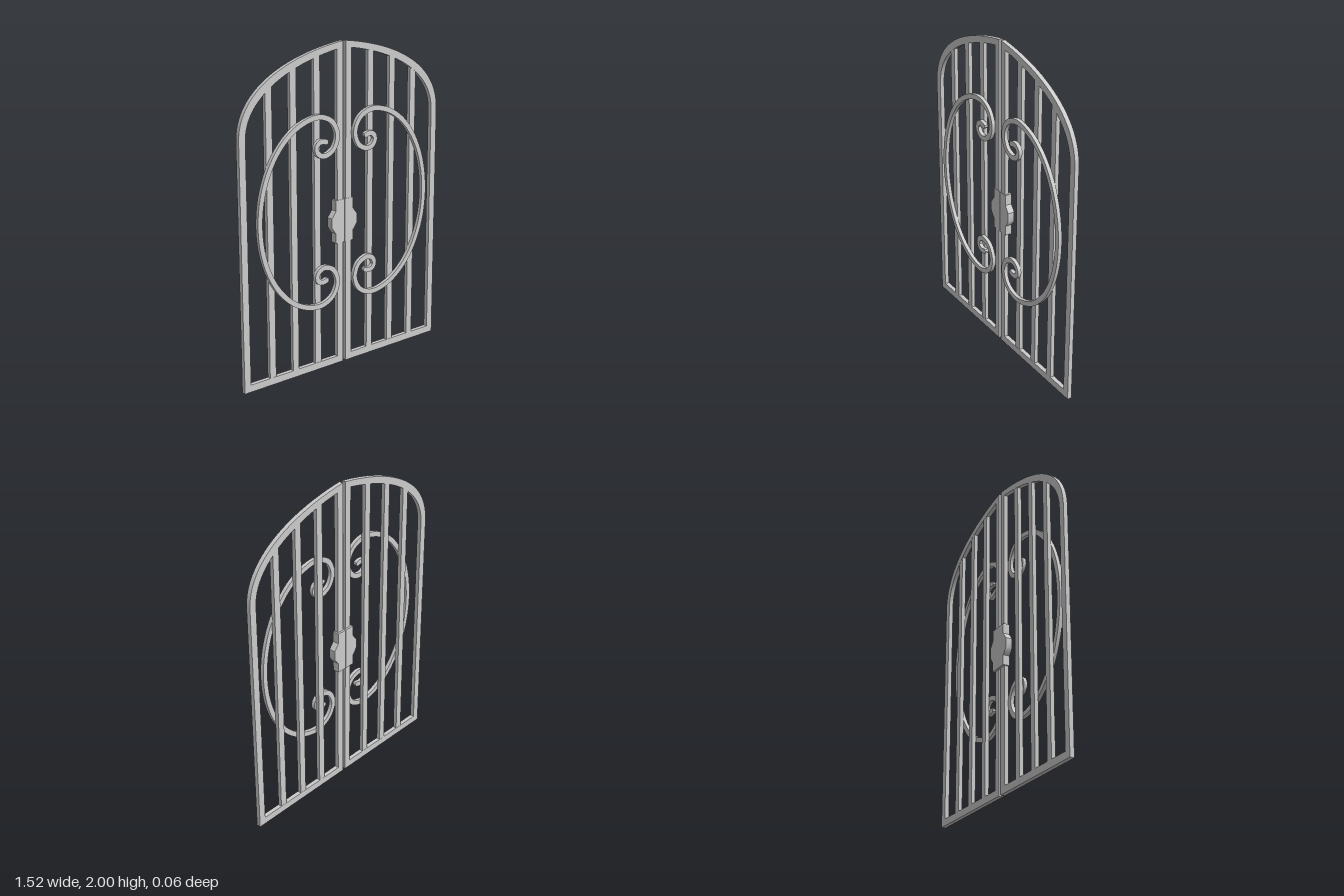
import * as THREE from 'three';
import { toCreasedNormals } from 'three/addons/utils/BufferGeometryUtils.js';

const FRAME_BACK = -0.018, FRAME_FRONT = 0.009;
const SCROLL_FRONT = 0.031, PLATE_BACK = -0.031, PLATE_FRONT = 0.0115;
const SCROLL_Y = 0.998;

const material = new THREE.MeshStandardMaterial({ color: 0xcccccc });
const v = (x, y) => new THREE.Vector2(x, y);

// Extrude an outline (with optional hole) between two depths; side = -1 mirrors it
// and reverses the point order, so outlines always run counter-clockwise
function slab(name, side, outline, z0, z1, hole) {
  const place = (pts) => {
    const placed = pts.map((p) => v(p.x * side, p.y));
    return side < 0 ? placed.reverse() : placed;
  };
  const shape = new THREE.Shape(place(outline));
  if (hole) shape.holes.push(new THREE.Path(place(hole)));
  const geo = new THREE.ExtrudeGeometry(shape, { depth: z1 - z0, bevelEnabled: false });
  geo.translate(0, 0, z0);
  const mesh = new THREE.Mesh(toCreasedNormals(geo, 0.6), material);
  mesh.name = name;
  return mesh;
}

// Leaf outline: straight sides and a sweeping arch that rises to the middle
function leafOutline(x0, x1, y0, spring, c1, c2, top) {
  const arch = new THREE.CubicBezierCurve(v(x1, spring), c1, c2, v(x0, top));
  return [v(x0, y0), v(x1, y0), ...arch.getPoints(24)];
}

// Centreline of the scroll: half ellipse with a curl at each end
function scrollPath() {
  const curl = [
    [0.11, 1.54], [0.069, 1.457], [0.095, 1.376], [0.16, 1.342],
    [0.21, 1.357], [0.228, 1.397], [0.207, 1.426], [0.175, 1.43], [0.153, 1.424],
  ].map(([x, y]) => v(x, y));
  const bow = [];
  for (let i = 0; i <= 12; i++) {
    const a = -Math.PI / 2 + (Math.PI * i) / 12;
    bow.push(v(0.205 + 0.436 * Math.cos(a), SCROLL_Y + 0.58 * Math.sin(a)));
  }
  const lower = curl.map((p) => v(p.x, 2 * SCROLL_Y - p.y)).reverse();
  return new THREE.SplineCurve([...lower, ...bow, ...curl]);
}

// Closed band of constant width around a curve, with rounded ends
function band(curve, width, steps) {
  const left = [], right = [];
  const r = width / 2;
  for (let i = 0; i <= steps; i++) {
    const p = curve.getPointAt(i / steps);
    const t = curve.getTangentAt(i / steps);
    left.push(v(p.x - t.y * r, p.y + t.x * r));
    right.push(v(p.x + t.y * r, p.y - t.x * r));
  }
  const cap = (u, sign) => {
    const p = curve.getPointAt(u), t = curve.getTangentAt(u).multiplyScalar(sign);
    return [-1, 0, 1].map((k) => {
      const a = (k * Math.PI) / 4, c = Math.cos(a) * r, s = Math.sin(a) * r;
      return v(p.x + t.x * c - t.y * s, p.y + t.y * c + t.x * s);
    });
  };
  return [...right, ...cap(1, 1), ...left.reverse(), ...cap(0, -1)];
}

function createLeaf(side) {
  const leaf = new THREE.Group();
  leaf.name = side > 0 ? 'leftLeaf' : 'rightLeaf';

  // Arched frame
  const outer = leafOutline(0.011, 0.76, 0, 1.505, v(0.76, 1.78), v(0.44, 1.945), 2);
  const inner = leafOutline(0.055, 0.715, 0.045, 1.505, v(0.715, 1.74), v(0.42, 1.895), 1.955);
  leaf.add(slab('frame', side, outer, FRAME_BACK, FRAME_FRONT, inner));

  // Upright bars, tucked into the frame at both ends
  for (const [x, top] of [[0.206, 1.94], [0.379, 1.88], [0.552, 1.8]]) {
    const bar = new THREE.Mesh(new THREE.BoxGeometry(0.045, top - 0.02, 0.025), material);
    bar.name = 'bar';
    bar.position.set(x * side, (top + 0.02) / 2, (FRAME_BACK + FRAME_FRONT) / 2);
    leaf.add(bar);
  }

  // Scroll ornament on the front of the bars
  leaf.add(slab('scroll', side, band(scrollPath(), 0.032, 160), FRAME_FRONT - 0.001, SCROLL_FRONT));

  // Half of the lock plate, with a bulge at its outer edge
  const plate = [
    v(0.002, 0.781), v(0.066, 0.781), v(0.066, 0.843), v(0.079, 0.856), v(0.098, 0.885),
    v(0.098, 0.942), v(0.079, 0.967), v(0.066, 0.984), v(0.066, 1.05), v(0.002, 1.05),
  ];
  leaf.add(slab('lockPlate', side, plate, PLATE_BACK, PLATE_FRONT));
  return leaf;
}

export function createModel() {
  const gate = new THREE.Group();
  gate.name = 'gate';
  for (const side of [1, -1]) gate.add(createLeaf(side));
  return gate;
}
